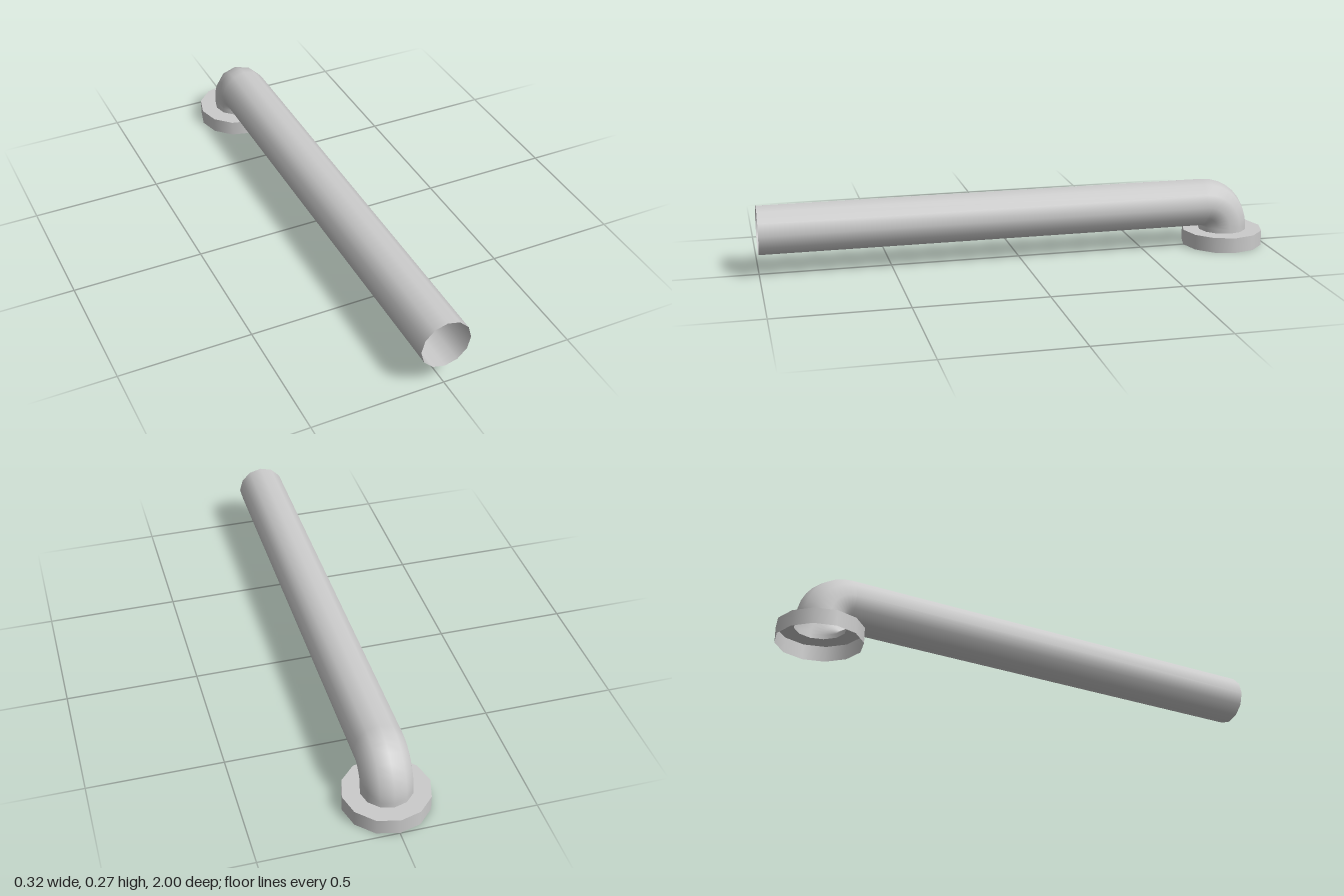
import * as THREE from 'three';

const SIDES = 12;
const PIPE_R = 0.095;   // pipe radius, also the bend radius
const FLANGE_R = 0.16;
const FLANGE_H = 0.06;
const BEND_Y = PIPE_R * 3 - 0.208; // height of the bend centre
const BEND_Z = -0.745;
const AXIS_Z = BEND_Z - PIPE_R;    // axis of the upright stub

export function createModel() {
  const group = new THREE.Group();
  const material = new THREE.MeshStandardMaterial({ color: 0xcccccc, side: THREE.DoubleSide });

  const add = (name, geometry, x, y, z) => {
    const mesh = new THREE.Mesh(geometry, material);
    mesh.name = name;
    mesh.position.set(x, y, z);
    group.add(mesh);
  };
  const openTube = (radius, length) =>
    new THREE.CylinderGeometry(radius, radius, length, SIDES, 1, true);

  // Long horizontal pipe, open at the front
  const length = 1 - BEND_Z;
  add('straightPipe', openTube(PIPE_R, length).rotateX(Math.PI / 2),
    0, BEND_Y + PIPE_R, BEND_Z + length / 2);

  // Quarter-turn elbow at the back
  add('elbow', new THREE.TorusGeometry(PIPE_R, PIPE_R, SIDES, 8, Math.PI / 2).rotateY(Math.PI / 2),
    0, BEND_Y, BEND_Z);

  // Short upright stub between elbow and flange
  const stub = BEND_Y - FLANGE_H;
  add('stub', openTube(PIPE_R, stub), 0, FLANGE_H + stub / 2, AXIS_Z);

  // Flange: hollow rim with a ring-shaped top, open below
  add('flangeRim', openTube(FLANGE_R, FLANGE_H), 0, FLANGE_H / 2, AXIS_Z);
  add('flangeTop', new THREE.RingGeometry(PIPE_R, FLANGE_R, SIDES).rotateX(-Math.PI / 2),
    0, FLANGE_H, AXIS_Z);

  return group;
}
